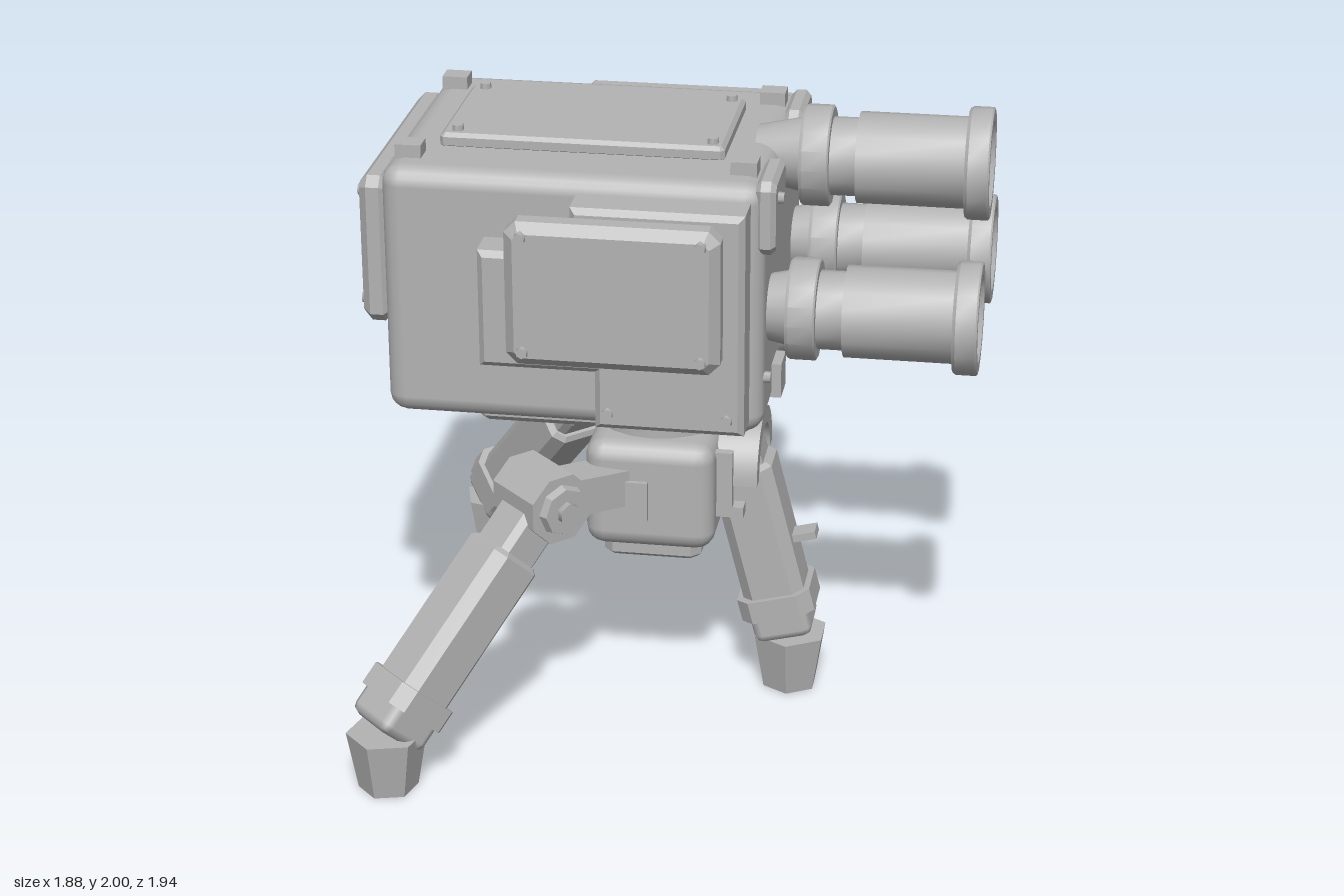
import * as THREE from 'three';
import { toCreasedNormals } from 'three/addons/utils/BufferGeometryUtils.js';
import { RoundedBoxGeometry } from 'three/addons/geometries/RoundedBoxGeometry.js';

const metal = new THREE.MeshStandardMaterial({ color: 0xb3b3b3 });
metal.name = 'grey metal';
const amber = new THREE.MeshStandardMaterial({ color: 0xd6952a });
amber.name = 'amber';

const PI = Math.PI;

function add(parent, name, geo, pos, rot = [0, 0, 0], mat = metal) {
  const m = new THREE.Mesh(geo, mat);
  m.name = name;
  m.position.set(...pos);
  m.rotation.set(...rot);
  parent.add(m);
  return m;
}

// Bevelled extrusion of an outline, centred on z = 0
function slabFrom(points, depth, bevel) {
  const shape = new THREE.Shape(points.map(p => new THREE.Vector2(...p)));
  const g = new THREE.ExtrudeGeometry(shape, {
    depth: depth - 2 * bevel, bevelEnabled: bevel > 0, bevelThickness: bevel,
    bevelSize: bevel, bevelOffset: -bevel, bevelSegments: 1,
  });
  return g.translate(0, 0, -depth / 2 + bevel);
}

// Rectangular plate with clipped corners, facing z
function slab(w, h, depth, clip, bevel) {
  const x = w / 2, y = h / 2, c = clip;
  return slabFrom([[-x + c, -y], [x - c, -y], [x, -y + c], [x, y - c],
    [x - c, y], [-x + c, y], [-x, y - c], [-x, -y + c]], depth, bevel);
}

const box = (w, h, d) => new THREE.BoxGeometry(w, h, d);
const smoothCyl = (r1, r2, h, n) => toCreasedNormals(new THREE.CylinderGeometry(r1, r2, h, n), 0.6);

const bolt = new THREE.CylinderGeometry(0.017, 0.02, 0.03, 6);

function buildBody(root) {
  const body = new THREE.Group();
  body.name = 'body';
  root.add(body);
  add(body, 'hull', new RoundedBoxGeometry(1.16, 0.8, 0.92, 2, 0.06), [-0.28, 1.48, 0]);
  add(body, 'roofPlate', slab(0.87, 0.48, 0.05, 0.012, 0.012), [-0.285, 1.895, 0], [-PI / 2, 0, 0]);
  add(body, 'floorPlate', slab(0.85, 0.76, 0.06, 0.03, 0.02), [-0.175, 1.068, 0], [PI / 2, 0, 0]);
  add(body, 'rearPlate', slab(0.84, 0.47, 0.09, 0.03, 0.025), [-0.89, 1.595, 0], [0, PI / 2, 0]);
  add(body, 'rearLowerPlate', slab(0.42, 0.26, 0.07, 0.02, 0.015), [-0.875, 1.21, 0], [0, PI / 2, 0]);

  const armour = slabFrom([[-0.54, 1.31], [-0.19, 1.31], [-0.19, 1.13], [0.26, 1.13],
    [0.26, 1.83], [-0.26, 1.83], [-0.26, 1.68], [-0.54, 1.68]], 0.15, 0.018);
  for (const s of [1, -1]) {
    add(body, 'sideArmour', armour, [0, 0, 0.508 * s]);
    add(body, 'sideOuterPlate', slab(0.64, 0.45, 0.11, 0.035, 0.03), [-0.12, 1.585, 0.627 * s]);
    add(body, 'frontCornerPlate', slab(0.25, 0.23, 0.06, 0.025, 0.015), [0.302, 1.775, 0.325 * s], [0, PI / 2, 0]);
    add(body, 'frontBlock', box(0.05, 0.11, 0.11), [0.305, 1.175, 0.19 * s]);
    for (const x of [-0.79, 0.225])
      add(body, 'roofLug', box(0.08, 0.05, 0.07), [x, 1.895, 0.325 * s]);

    // Bolts
    for (const x of [-0.385, 0.145])
      for (const y of [1.41, 1.77]) add(body, 'bolt', bolt, [x, y, 0.682 * s], [s * PI / 2, 0, 0]);
    for (const x of [-0.15, 0.21])
      add(body, 'bolt', bolt, [x, 1.185, 0.583 * s], [s * PI / 2, 0, 0]);
    for (const x of [-0.67, 0.11]) add(body, 'bolt', bolt, [x, 1.922, 0.2 * s]);
    for (const y of [1.42, 1.77]) add(body, 'bolt', bolt, [-0.932, y, 0.355 * s], [0, 0, PI / 2]);
    add(body, 'bolt', bolt, [0.335, 1.825, 0.38 * s], [0, 0, -PI / 2]);
    add(body, 'bolt', bolt, [0.303, 1.255, 0.4 * s], [0, 0, -PI / 2]);
  }

  // Sensor lamp
  add(body, 'lampRing', smoothCyl(0.09, 0.1, 0.05, 16), [0.31, 1.27, 0], [0, 0, -PI / 2]);
  add(body, 'lamp', smoothCyl(0.05, 0.065, 0.07, 12), [0.338, 1.27, 0], [0, 0, -PI / 2], amber);
}

function buildBarrels(root) {
  // Radius and distance along the barrel, ending inside the bore
  const profile = [[0, 0.22], [0.085, 0.22], [0.115, 0.36], [0.15, 0.36], [0.155, 0.37], [0.155, 0.445],
    [0.15, 0.45], [0.12, 0.45], [0.12, 0.53], [0.14, 0.53], [0.14, 0.86], [0.165, 0.86], [0.172, 0.87],
    [0.172, 0.93], [0.168, 0.935], [0.135, 0.935], [0.115, 0.91], [0.115, 0.83], [0, 0.83]];
  const geo = toCreasedNormals(
    new THREE.LatheGeometry(profile.map(p => new THREE.Vector2(...p)), 16), 0.5);
  for (const [y, z] of [[1.828, 0], [1.44, 0.29], [1.44, -0.29]])
    add(root, 'barrel', geo, [0, y, z], [0, 0, -PI / 2]);
}

function buildHub(root) {
  const hub = new THREE.Group();
  hub.name = 'hub';
  root.add(hub);
  add(hub, 'neck', smoothCyl(0.195, 0.195, 0.12, 20), [-0.08, 1.0, 0]);
  add(hub, 'neckCollar', smoothCyl(0.215, 0.215, 0.045, 20), [-0.08, 0.962, 0]);
  add(hub, 'hubBlock', new RoundedBoxGeometry(0.41, 0.36, 0.56, 2, 0.06), [-0.08, 0.76, 0]);
  add(hub, 'hubBase', slab(0.31, 0.43, 0.07, 0.03, 0.012), [-0.08, 0.56, 0], [PI / 2, 0, 0]);
  for (const s of [1, -1])
    add(hub, 'hubSidePlate', box(0.07, 0.13, 0.03), [-0.115, 0.755, 0.28 * s]);
}

// Leg segments hang along local -y, outward is local +x
function buildLeg(root, name, knee, yaw, tilt, foot, start, end) {
  const leg = new THREE.Group();
  leg.name = name;
  leg.position.set(...knee);
  leg.rotation.y = yaw;
  root.add(leg);
  const limb = new THREE.Group();
  limb.name = 'limb';
  limb.rotation.z = tilt;
  leg.add(limb);
  const len = end - start;
  add(limb, 'shin', slab(0.2, 0.2, len, 0.035, 0.015), [0, -(start + end) / 2, 0], [PI / 2, 0, 0]);
  add(limb, 'ankleCollar', slab(0.24, 0.235, 0.075, 0.04, 0), [0, -end + 0.04, 0], [PI / 2, 0, 0]);
  add(limb, 'ankle', new RoundedBoxGeometry(0.19, 0.13, 0.2, 1, 0.03), [0, -end - 0.02, 0]);

  // Hexagonal foot with a vertex on each side
  const hoof = toCreasedNormals(new THREE.CylinderGeometry(0.125, 0.092, 0.19, 6), 0.2);
  add(root, name + 'Foot', hoof, [foot[0], 0.095, foot[1]], [0, yaw, 0]);
  return { leg, limb };
}

function buildLegs(root) {
  // Front leg with arched yoke
  const front = buildLeg(root, 'frontLeg', [0.18, 0.79, 0], 0, 0.25, [0.34, 0], 0, 0.53);
  add(front.limb, 'shinTab', box(0.1, 0.025, 0.07), [0.125, -0.29, 0]);
  add(front.limb, 'hipBlock', slab(0.15, 0.2, 0.13, 0.04, 0), [0, 0.03, 0]);
  const arch = new THREE.Shape();
  arch.moveTo(0.185, 0);
  arch.absarc(0, 0, 0.185, 0, PI, false);
  arch.lineTo(-0.13, 0);
  arch.absarc(0, 0, 0.13, PI, 0, true);
  arch.closePath();
  const archGeo = new THREE.ExtrudeGeometry(arch, { depth: 0.13, bevelEnabled: false, curveSegments: 12 });
  add(root, 'yokeArch', toCreasedNormals(archGeo, 0.5), [0.12, 0.78, 0], [0, PI / 2, 0]);
  for (const s of [1, -1]) {
    add(root, 'yokeBracket', box(0.07, 0.22, 0.03), [0.14, 0.79, 0.19 * s]);
    add(root, 'yokeFoot', box(0.12, 0.035, 0.05), [0.15, 0.695, 0.175 * s]);
  }

  // Rear legs, splayed diagonally
  for (const s of [1, -1]) {
    const yaw = -s * 0.75 * PI;
    const { leg, limb } = buildLeg(root, s > 0 ? 'rearLeftLeg' : 'rearRightLeg',
      [-0.385, 0.82, 0.435 * s], yaw, 0.755, [-0.8, 0.85 * s], 0.2, 0.78);
    add(limb, 'upperLink', slab(0.15, 0.16, 0.26, 0.02, 0), [0, -0.13, 0], [PI / 2, 0, 0]);
    add(leg, 'hipArm', box(0.3, 0.12, 0.13), [-0.17, -0.015, 0], [0, 0, 0.1]);
    const disc = toCreasedNormals(new THREE.CylinderGeometry(0.115, 0.115, 0.22, 8), 0.2);
    add(leg, 'kneeDisc', disc, [0, 0, 0], [PI / 2, PI / 8, 0]);
    for (const t of [1, -1]) {
      add(leg, 'kneeCap', toCreasedNormals(new THREE.CylinderGeometry(0.075, 0.085, 0.03, 8), 0.2),
        [0, 0, 0.12 * t], [t * PI / 2, 0, 0]);
      add(leg, 'kneeBolt', new THREE.CylinderGeometry(0.035, 0.035, 0.03, 6), [0, 0, 0.14 * t], [t * PI / 2, 0, 0]);
    }
  }
}

export function createModel() {
  const root = new THREE.Group();
  root.name = 'tripodTurret';
  buildBody(root);
  buildBarrels(root);
  buildHub(root);
  buildLegs(root);
  return root;
}
